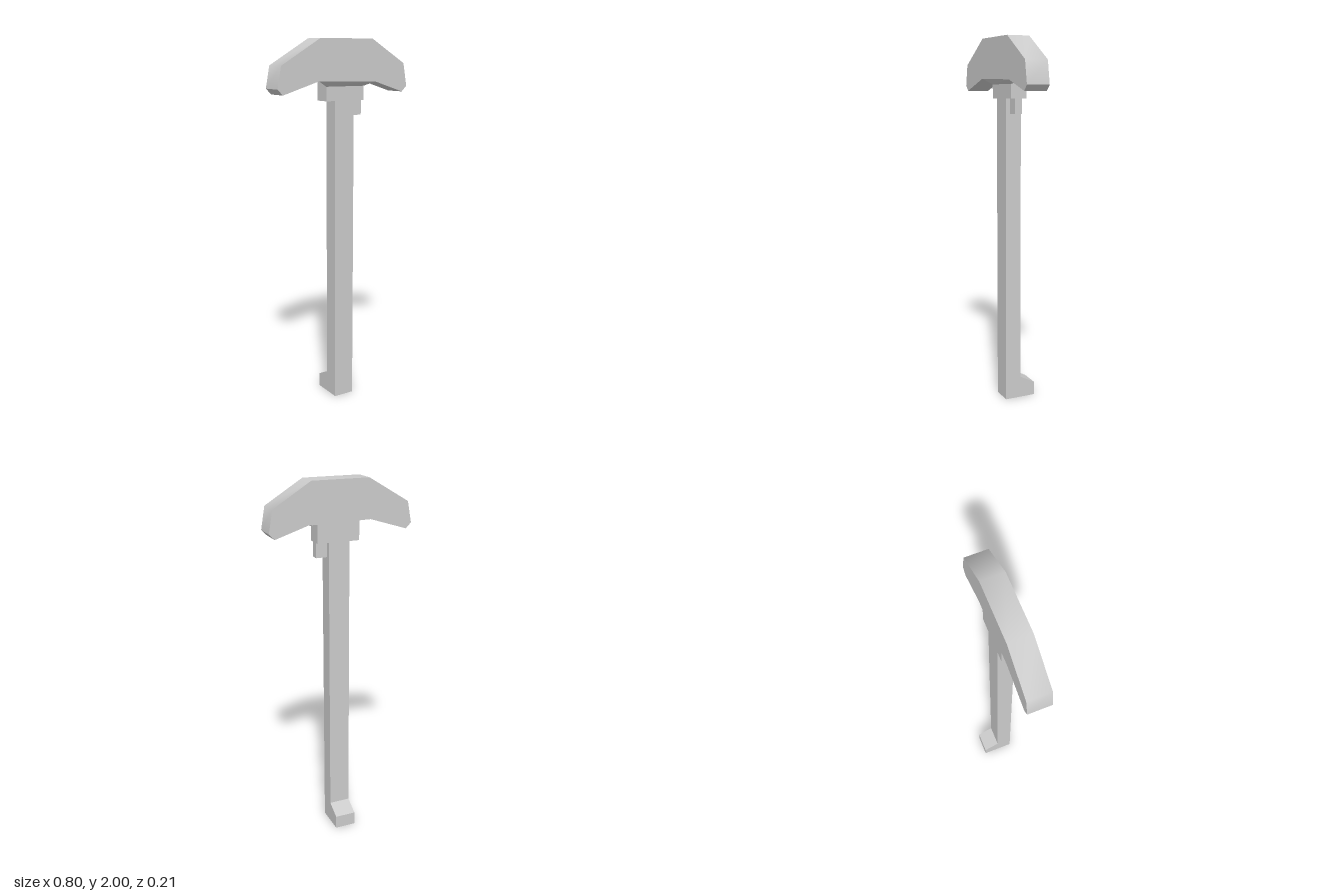
import * as THREE from 'three';
import { toCreasedNormals } from 'three/addons/utils/BufferGeometryUtils.js';
import { ConvexGeometry } from 'three/addons/geometries/ConvexGeometry.js';

const material = new THREE.MeshStandardMaterial({ color: 0xcccccc });

function extrude(points, depth) {
  const shape = new THREE.Shape(points.map(([x, y]) => new THREE.Vector2(x, y)));
  return new THREE.ExtrudeGeometry(shape, { depth, bevelEnabled: false });
}

function box(x0, x1, y0, y1, z0, z1) {
  return new THREE.BoxGeometry(x1 - x0, y1 - y0, z1 - z0)
    .translate((x0 + x1) / 2, (y0 + y1) / 2, (z0 + z1) / 2);
}

export function createModel() {
  const group = new THREE.Group();
  const add = (name, geometry) => {
    const mesh = new THREE.Mesh(geometry, material);
    mesh.name = name;
    group.add(mesh);
  };

  // Winged grip: arched outline, softened across its shallow corners
  const grip = extrude([
    [-0.15, 2], [-0.378, 1.865], [-0.4, 1.75], [-0.37, 1.72], [-0.16, 1.785],
    [0.19, 1.778], [0.37, 1.72], [0.4, 1.75], [0.378, 1.872], [0.17, 2],
  ], 0.125).translate(0, 0, -0.02);
  add('grip', toCreasedNormals(grip, 0.9));

  // Sloped fillet running from the front of the grip back to the collar
  add('gripFillet', new ConvexGeometry([
    [-0.16, 1.785, 0.105], [0.19, 1.778, 0.105],
    [-0.095, 1.755, 0.07], [0.14, 1.755, 0.07],
    [-0.095, 1.785, -0.015], [0.14, 1.785, -0.015],
  ].map((p) => new THREE.Vector3(...p))));

  // Collar and the small latch tab hanging under its left side
  add('collar', box(-0.095, 0.14, 1.68, 1.79, -0.02, 0.07));
  add('latchTab', box(0.075, 0.14, 1.6, 1.69, 0.005, 0.045));

  // Shaft with its hooked foot: side profile (-z, y) extruded along x
  const shaft = extrude([
    [-0.07, 0], [0.105, 0], [0.105, 0.075], [0.018, 0.12], [0.018, 1.69], [-0.07, 1.69],
  ], 0.117).rotateY(Math.PI / 2).translate(-0.04, 0, 0);
  add('shaftAndFoot', shaft);

  return group;
}
